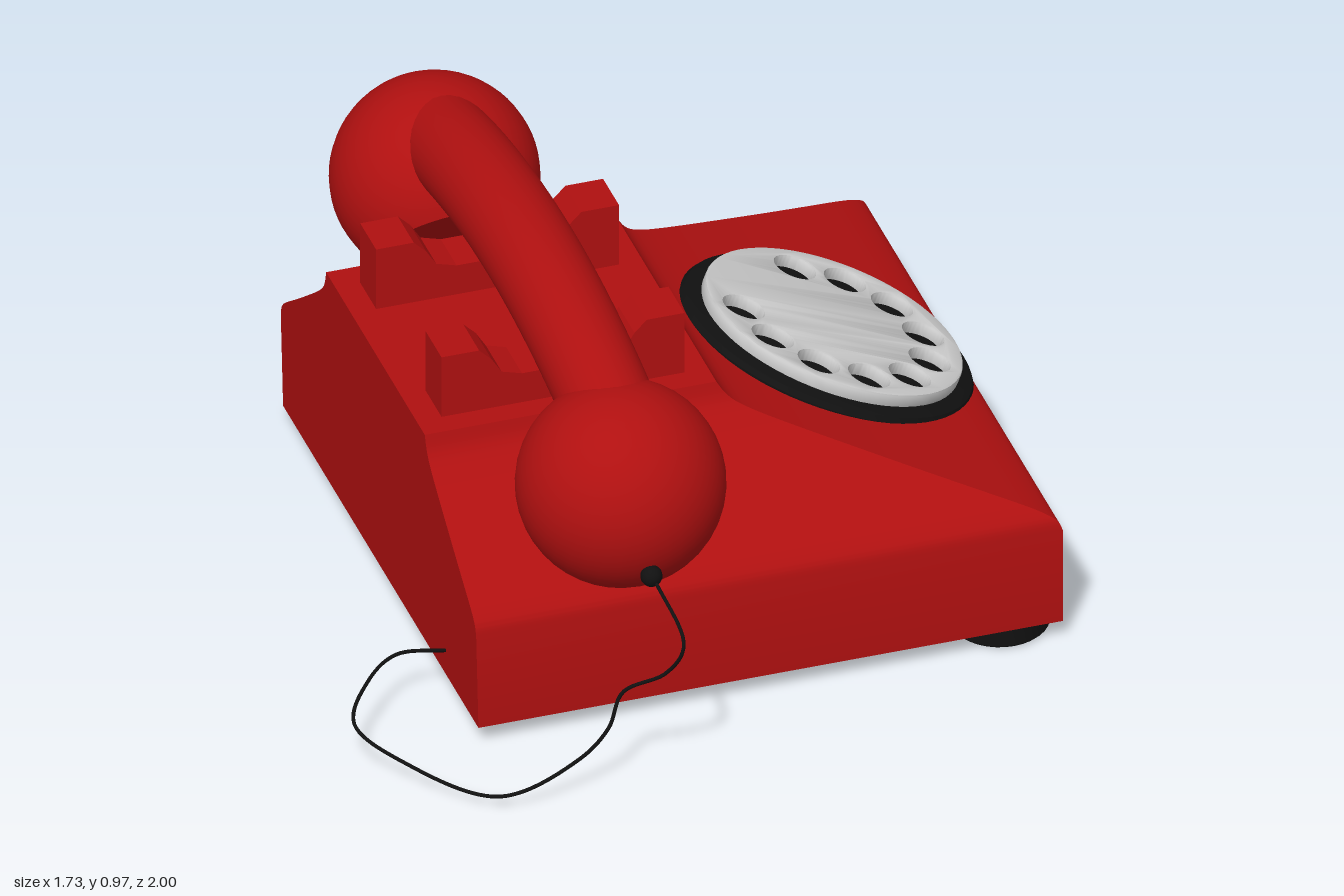
import * as THREE from 'three';
import { toCreasedNormals } from 'three/addons/utils/BufferGeometryUtils.js';

const red = new THREE.MeshStandardMaterial({ color: 0xb01010 });
const black = new THREE.MeshStandardMaterial({ color: 0x111111 });
const grey = new THREE.MeshStandardMaterial({ color: 0xcccccc });
const V3 = (x, y, z) => new THREE.Vector3(x, y, z);
const V2 = (x, y) => new THREE.Vector2(x, y);

function add(parent, name, geometry, material, x = 0, y = 0, z = 0) {
  const mesh = new THREE.Mesh(geometry, material);
  mesh.name = name;
  mesh.position.set(x, y, z);
  parent.add(mesh);
  return mesh;
}

// Housing: rectangular rings that shrink along a swept profile.
// f = 0 is the top plateau outline, f = 1 the base outline.
function bodyGeometry() {
  const curve = new THREE.SplineCurve([
    V2(1, 0.3), V2(0.985, 0.325), V2(0.95, 0.343), V2(0.88, 0.365), V2(0.7, 0.412),
    V2(0.5, 0.465), V2(0.2, 0.547), V2(0.08, 0.585), V2(0.03, 0.612), V2(0, 0.645)]);
  const profile = [V2(1, 0.05), ...curve.getPoints(36)];
  const pos = [], idx = [];
  profile.forEach(({ x: f, y }, i) => {
    const back = -0.565 - 0.013 * (y - 0.05) / 0.595;
    const front = 0.135 + 0.73 * f;
    const half = 0.362 + 0.355 * f, mid = -0.085;
    pos.push(back, y, mid - half, back, y, mid + half, front, y, mid + half, front, y, mid - half);
    if (i === 0) return;
    for (let j = 0; j < 4; j++) {
      const a = (i - 1) * 4 + j, b = (i - 1) * 4 + (j + 1) % 4;
      idx.push(a, b, b + 4, a, b + 4, a + 4);
    }
  });
  const t = (profile.length - 1) * 4;
  idx.push(t, t + 1, t + 2, t, t + 2, t + 3, 0, 2, 1, 0, 3, 2);
  const g = new THREE.BufferGeometry();
  g.setAttribute('position', new THREE.Float32BufferAttribute(pos, 3));
  g.setIndex(idx);
  return toCreasedNormals(g, 0.5);
}

// Ball with a flat slice removed at local +y
function cutBall(radius, cutAngle) {
  const pts = [];
  for (let i = 0; i <= 24; i++) {
    const a = Math.PI - (Math.PI - cutAngle) * i / 24;
    pts.push(V2(Math.max(0, radius * Math.sin(a)), radius * Math.cos(a)));
  }
  pts.push(V2(0, radius * Math.cos(cutAngle)));
  return toCreasedNormals(new THREE.LatheGeometry(pts, 40), 0.5);
}

function buildHandset() {
  const handset = new THREE.Group();
  handset.name = 'handset';
  const path = [];
  for (let i = 0; i <= 8; i++) {
    const z = -0.70 + 1.26 * i / 8;
    path.push(V3(-0.206, 0.862 - 0.21 * (z + 0.07) ** 2, z));
  }
  add(handset, 'handle', new THREE.TubeGeometry(new THREE.CatmullRomCurve3(path), 40, 0.111, 32), red);
  const ends = [
    ['mouthpiece', 0.61, 0.693, V3(0, -0.843, -0.537)],
    ['earpiece', -0.755, 0.85, V3(0, -0.61, 0.79)]];
  for (const [name, z, cut, dir] of ends) {
    const ball = add(handset, name, cutBall(0.246, cut), red, -0.21, 0.645, z);
    ball.quaternion.setFromUnitVectors(V3(0, 1, 0), dir.normalize());
  }
  return handset;
}

function buildDial() {
  const dial = new THREE.Group();
  dial.name = 'dial';
  dial.position.set(0.525, 0.457, -0.081);
  dial.rotation.z = -0.375;
  // Dark backing plate with a rounded rim
  const rim = [V2(0, -0.025), V2(0.35, -0.025), V2(0.362, -0.015), V2(0.364, 0), V2(0.356, 0.012), V2(0.34, 0.018), V2(0, 0.018)];
  add(dial, 'dialPlate', toCreasedNormals(new THREE.LatheGeometry(rim, 64), 0.6), black);
  // Finger wheel with ten holes
  const shape = new THREE.Shape().absarc(0, 0, 0.314, 0, Math.PI * 2);
  for (let i = 0; i < 10; i++) {
    const a = THREE.MathUtils.degToRad(180 + 30.5 * i);
    shape.holes.push(new THREE.Path().absarc(0.238 * Math.cos(a), 0.238 * Math.sin(a), 0.056, 0, Math.PI * 2, true));
  }
  const wheel = new THREE.ExtrudeGeometry(shape, {
    depth: 0.024, curveSegments: 32, bevelThickness: 0.005, bevelSize: 0.005, bevelSegments: 2 });
  wheel.rotateX(-Math.PI / 2);
  add(dial, 'fingerWheel', toCreasedNormals(wheel, 0.6), grey, 0, 0.022, 0);
  return dial;
}

export function createModel() {
  const phone = new THREE.Group();
  phone.name = 'rotaryTelephone';
  add(phone, 'body', bodyGeometry(), red);

  // Two feet under the dial side
  for (const z of [0.515, -0.675]) {
    const foot = [V2(0, 0), V2(0.11, 0), V2(0.117, 0.007), V2(0.117, 0.055), V2(0, 0.055)];
    add(phone, 'foot', toCreasedNormals(new THREE.LatheGeometry(foot, 32), 0.5), black, 0.748, 0, z);
  }

  // Cradle rests: a raised block at each end with a dip for the handle
  const rest = new THREE.Shape([
    V2(-0.517, 0.63), V2(0.077, 0.63), V2(0.077, 0.81), V2(-0.015, 0.81), V2(-0.045, 0.78),
    V2(-0.07, 0.74), V2(-0.12, 0.725), V2(-0.32, 0.725), V2(-0.37, 0.74), V2(-0.395, 0.78), V2(-0.425, 0.81), V2(-0.517, 0.81)]);
  for (const z of [0.1, -0.38]) {
    add(phone, 'cradleRest', new THREE.ExtrudeGeometry(rest, { depth: 0.117, bevelEnabled: false }), red, 0, 0, z);
  }

  phone.add(buildHandset(), buildDial());

  // Cord from the mouthpiece round to the back of the body
  add(phone, 'cordPlug', new THREE.SphereGeometry(0.026, 16, 12), black, -0.212, 0.53, 0.842);
  const cord = new THREE.CatmullRomCurve3([
    V3(-0.21, 0.53, 0.85), V3(-0.183, 0.43, 0.993), V3(-0.215, 0.33, 0.955), V3(-0.305, 0.27, 0.912),
    V3(-0.34, 0.175, 0.91), V3(-0.41, 0.105, 0.91), V3(-0.6, 0.034, 0.9), V3(-0.78, 0.06, 0.73),
    V3(-0.865, 0.115, 0.625), V3(-0.79, 0.146, 0.5), V3(-0.69, 0.146, 0.415), V3(-0.565, 0.118, 0.395)]);
  add(phone, 'cord', new THREE.TubeGeometry(cord, 120, 0.0045, 8), black);
  return phone;
}
